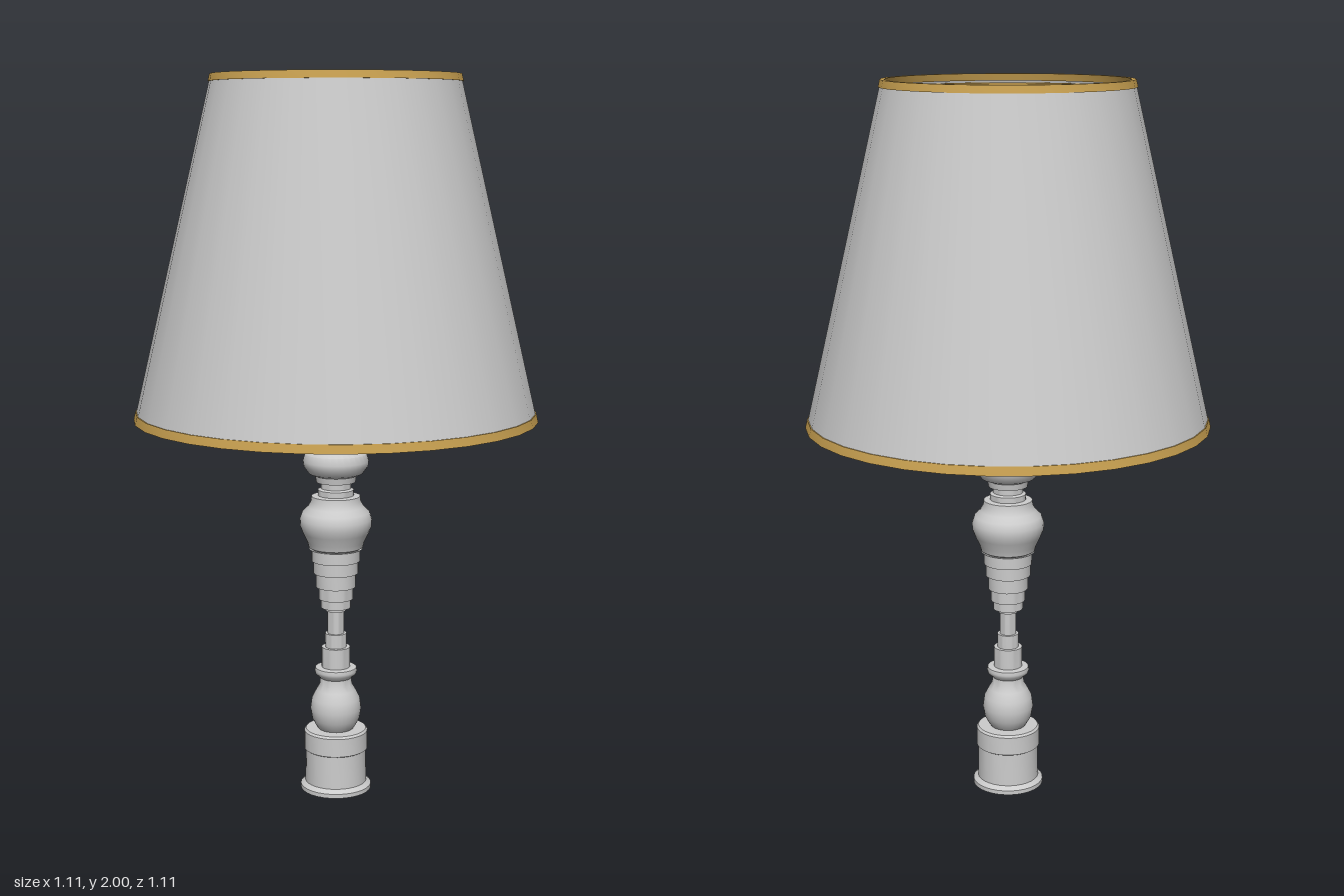
import * as THREE from 'three';
import { toCreasedNormals } from 'three/addons/utils/BufferGeometryUtils.js';

const SEG = 32;
const grey = new THREE.MeshStandardMaterial({ color: 0xcccccc, side: THREE.DoubleSide });
const brass = new THREE.MeshStandardMaterial({ color: 0xc8a050, side: THREE.DoubleSide });

export function createModel() {
  const model = new THREE.Group();
  model.name = 'tableLamp';

  const add = (name, geometry, material) => {
    const mesh = new THREE.Mesh(geometry, material);
    mesh.name = name;
    model.add(mesh);
    return mesh;
  };
  const lathe = (name, profile, material, segments = SEG) => {
    const pts = profile.map(([r, y]) => new THREE.Vector2(r, y));
    return add(name, toCreasedNormals(new THREE.LatheGeometry(pts, segments), 0.6), material);
  };
  // Closed ring of rectangular section, leaning from r0 at y0 to r1 at y1
  const band = (name, r0, y0, r1, y1, t) =>
    lathe(name, [[r0 - t, y0], [r0, y0], [r1, y1], [r1 - t, y1], [r0 - t, y0]], brass);

  // Pedestal, hollow underneath
  lathe('pedestal', [
    [0, 0.1], [0.075, 0.1], [0.085, 0], [0.1, 0], [0.1, 0.012], [0.087, 0.022],
    [0.085, 0.115], [0.09, 0.118], [0.09, 0.17], [0.085, 0.176], [0.045, 0.176],
  ], grey);

  // Lower bulb and collar
  lathe('lowerBaluster', [
    [0.045, 0.17], [0.055, 0.183], [0.067, 0.205], [0.072, 0.235], [0.068, 0.265],
    [0.055, 0.29], [0.046, 0.305], [0.044, 0.325], [0.058, 0.338], [0.06, 0.346],
    [0.058, 0.355], [0.04, 0.357], [0.04, 0.415],
  ], grey);

  // Slim waist widening in stacked steps
  const steps = [
    [0.03, 0.415, 0.455], [0.023, 0.455, 0.52], [0.028, 0.52, 0.53], [0.042, 0.53, 0.555],
    [0.048, 0.555, 0.59], [0.056, 0.59, 0.63], [0.063, 0.63, 0.665], [0.068, 0.665, 0.7],
  ];
  lathe('steppedShaft', [[0.04, 0.415],
    ...steps.flatMap(([r, a, b]) => [[r, a], [r, b]]), [0.075, 0.7]], grey);

  // Urn, upper bead and cap
  lathe('upperBaluster', [
    [0.068, 0.7], [0.076, 0.705], [0.08, 0.72], [0.092, 0.745], [0.1, 0.765], [0.101, 0.785],
    [0.094, 0.805], [0.078, 0.82], [0.07, 0.835], [0.068, 0.85], [0.05, 0.852],
    [0.05, 0.868], [0.042, 0.872], [0.042, 0.888], [0.055, 0.89], [0.058, 0.908],
    [0.075, 0.915], [0.09, 0.935], [0.092, 0.95], [0.086, 0.97], [0.068, 0.985],
    [0.05, 0.99], [0.05, 1.01], [0.041, 1.012], [0.041, 1.038], [0, 1.04],
  ], grey);

  // Brass stem and candle socket
  lathe('stemAndSocket', [
    [0.012, 1.035], [0.012, 1.05], [0.018, 1.058], [0.012, 1.068], [0.012, 1.1],
    [0.022, 1.105], [0.022, 1.125], [0.018, 1.13], [0.028, 1.19], [0.036, 1.26],
    [0.038, 1.32], [0.036, 1.4], [0, 1.4],
  ], brass, 24);

  // Candle-shaped light bulb
  lathe('lightBulb', [
    [0.025, 1.4], [0.036, 1.44], [0.047, 1.5], [0.049, 1.56], [0.042, 1.64],
    [0.025, 1.72], [0.01, 1.77], [0, 1.785],
  ], grey, 24);

  // Harp: flat strip bowed around the bulb
  const half = [[0.012, 1.1], [0.045, 1.12], [0.07, 1.2], [0.1, 1.4], [0.1, 1.68], [0.078, 1.83], [0.058, 1.91]];
  const curve = new THREE.SplineCurve(half.map(([x, y]) => new THREE.Vector2(x, y)));
  const outer = curve.getPoints(28);
  const inner = outer.map((p, i) => {
    const t = curve.getTangent(i / 28);
    return new THREE.Vector2(p.x - t.y * 0.009, p.y + t.x * 0.009);
  }).reverse();
  const harpGeo = new THREE.ExtrudeGeometry(new THREE.Shape([...outer, ...inner]),
    { depth: 0.028, bevelEnabled: false });
  harpGeo.translate(0, 0, -0.014);
  const harp = toCreasedNormals(harpGeo, 0.6);
  add('harpLeft', harp, brass);
  add('harpRight', harp, brass).rotation.y = Math.PI;

  // Hub ring and the three flared arms
  band('hubRing', 0.065, 1.905, 0.065, 1.93, 0.018);
  const armShape = new THREE.Shape([[0.055, -0.008], [0.318, -0.031], [0.318, 0.031], [0.055, 0.008]]
    .map(([x, y]) => new THREE.Vector2(x, y)));
  const armGeo = new THREE.ExtrudeGeometry(armShape, { depth: 0.008, bevelEnabled: false });
  armGeo.rotateX(-Math.PI / 2);
  // Slope each arm upward toward the shade
  const p = armGeo.attributes.position;
  for (let i = 0; i < p.count; i++) p.setY(i, p.getY(i) + 1.912 + (p.getX(i) - 0.055) * 0.2);
  armGeo.computeVertexNormals();
  [62, -62, -175].forEach((deg, i) => {
    add('shadeArm' + (i + 1), armGeo, brass).rotation.y = THREE.MathUtils.degToRad(deg);
  });

  // Shade: thin tapered shell with brass trim
  const radiusAt = (y) => 0.553 + (0.334 - 0.553) * (y - 1.07) / 0.93;
  lathe('shade', [[radiusAt(1.072), 1.072], [radiusAt(1.998), 1.998]], grey);
  const trim = (name, a, b) => band(name, radiusAt(a) + 0.003, a, radiusAt(b) + 0.003, b, 0.012);
  trim('bottomTrim', 1.07, 1.093);
  trim('topTrim', 1.98, 2);

  // Wire frame rings inside the rims
  band('topFrameRing', 0.332, 1.96, 0.329, 1.975, 0.018);
  band('bottomFrameRing', 0.54, 1.105, 0.537, 1.12, 0.014);

  return model;
}
